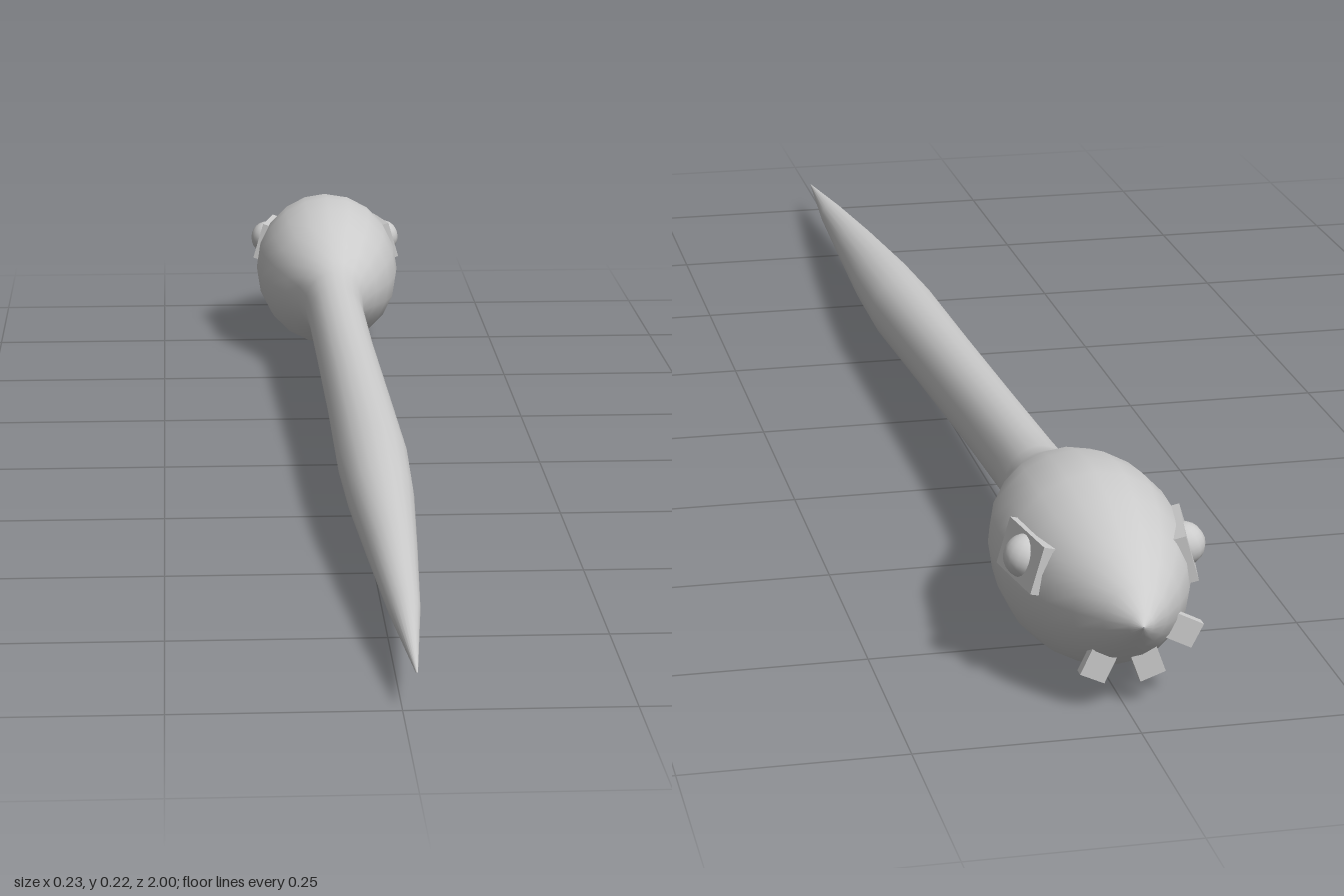
import * as THREE from 'three';

const SIDES = 20;
const mat = new THREE.MeshStandardMaterial({ color: 0xcccccc });

// Skin over elliptical rings [z, centreX, centreY, radiusX, radiusY], ordered by rising z
function loft(rings) {
  const pos = [], index = [];
  for (const [z, cx, cy, rx, ry] of rings) {
    for (let j = 0; j < SIDES; j++) {
      const a = (j / SIDES) * Math.PI * 2;
      pos.push(cx + rx * Math.cos(a), cy + ry * Math.sin(a), z);
    }
  }
  for (let i = 0; i < rings.length - 1; i++) {
    for (let j = 0; j < SIDES; j++) {
      const k = (j + 1) % SIDES;
      const a = i * SIDES + j, b = i * SIDES + k;
      index.push(a, b, a + SIDES, b, b + SIDES, a + SIDES);
    }
  }
  const g = new THREE.BufferGeometry();
  g.setAttribute('position', new THREE.Float32BufferAttribute(pos, 3));
  g.setIndex(index);
  g.computeVertexNormals();
  return g;
}

function add(parent, name, geometry) {
  const m = new THREE.Mesh(geometry, mat);
  m.name = name;
  parent.add(m);
  return m;
}

export function createModel() {
  const model = new THREE.Group();
  model.name = 'tadpole';

  // Bulbous head, narrow neck and long tapering tail in one skin
  add(model, 'body', loft([
    [-1.0, 0, 0.123, 0.001, 0.001],
    [-0.99, 0, 0.122, 0.014, 0.014],
    [-0.965, 0, 0.12, 0.036, 0.036],
    [-0.93, 0, 0.117, 0.06, 0.06],
    [-0.89, 0, 0.114, 0.081, 0.081],
    [-0.84, 0, 0.112, 0.098, 0.099],
    [-0.79, 0, 0.111, 0.106, 0.109],
    [-0.75, 0, 0.111, 0.107, 0.11],
    [-0.7, 0, 0.11, 0.102, 0.104],
    [-0.65, 0, 0.109, 0.089, 0.09],
    [-0.6, 0, 0.107, 0.068, 0.07],
    [-0.56, 0, 0.106, 0.052, 0.056],
    [-0.52, 0, 0.104, 0.043, 0.049],
    [-0.45, 0, 0.102, 0.04, 0.047],
    [-0.25, 0.003, 0.094, 0.04, 0.046],
    [0, 0.008, 0.084, 0.042, 0.046],
    [0.25, 0.012, 0.073, 0.045, 0.047],
    [0.4, 0.013, 0.067, 0.041, 0.042],
    [0.6, 0.014, 0.059, 0.03, 0.031],
    [0.8, 0.015, 0.05, 0.018, 0.018],
    [1.0, 0.015, 0.042, 0.001, 0.001],
  ]));

  // Eyes: a ball on a thin square plate lying against the head
  for (const side of [1, -1]) {
    const eye = new THREE.Group();
    eye.name = side > 0 ? 'leftEye' : 'rightEye';
    eye.position.set(side * 0.089, 0.145, -0.832);
    eye.quaternion.setFromUnitVectors(
      new THREE.Vector3(side, 0, 0),
      new THREE.Vector3(side, 0.3, -0.2).normalize()
    );
    add(eye, 'eyePlate', new THREE.BoxGeometry(0.014, 0.055, 0.092));
    add(eye, 'eyeball', new THREE.SphereGeometry(0.025, 16, 12));
    model.add(eye);
  }

  // Three small flat teeth fanned around the underside of the snout
  for (const deg of [-25, 20, 63]) {
    const a = THREE.MathUtils.degToRad(deg);
    const tooth = add(model, 'tooth', new THREE.BoxGeometry(0.03, 0.04, 0.012));
    tooth.position.set(-0.069 * Math.sin(a), 0.118 - 0.069 * Math.cos(a), -0.926);
    tooth.rotation.z = -a;
  }

  return model;
}
